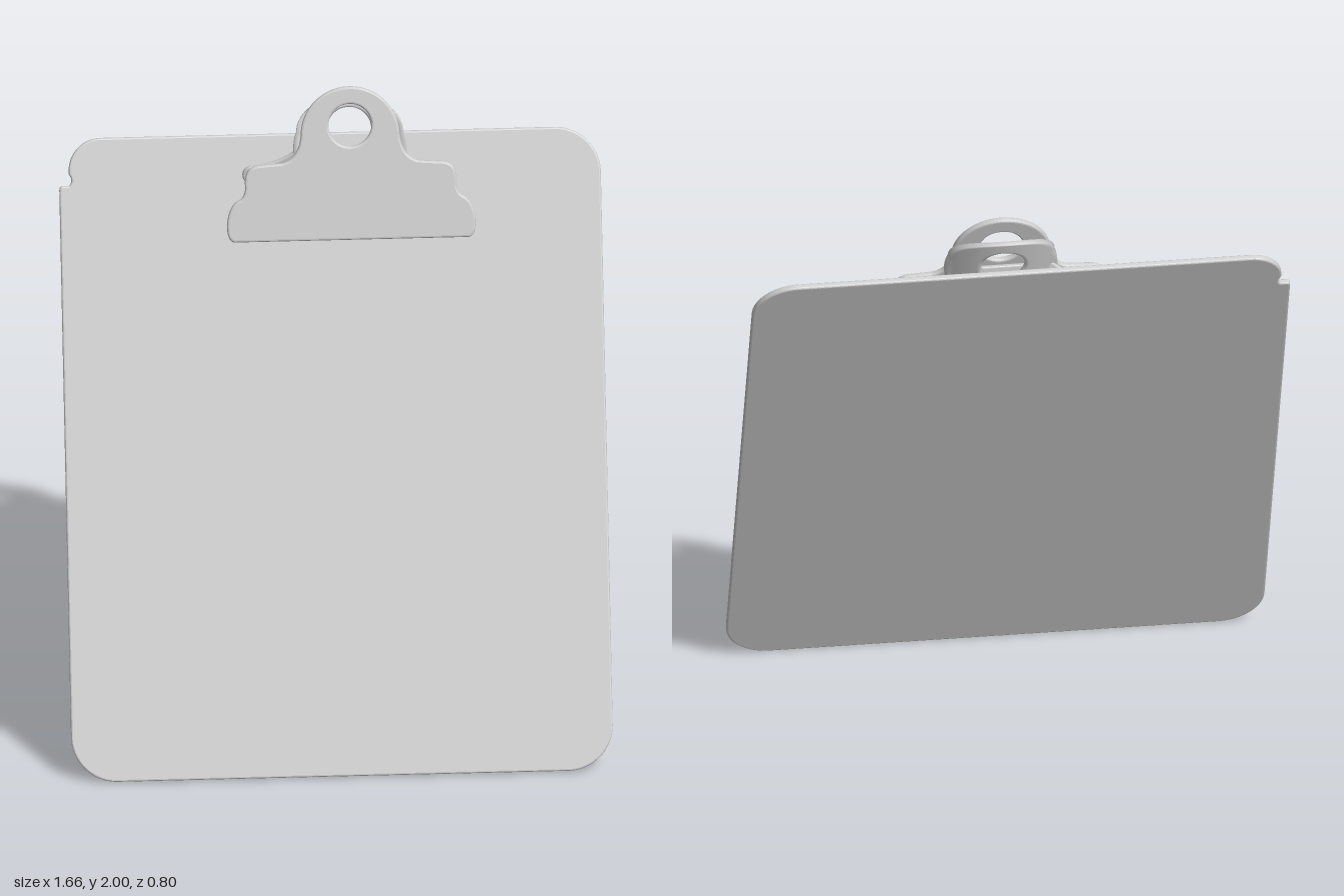
import * as THREE from 'three';

// Thin plate with softly rounded rims, centred on z = 0
function plate(shape, thickness, bevel) {
  const geo = new THREE.ExtrudeGeometry(shape, {
    depth: thickness - 2 * bevel, bevelThickness: bevel, bevelSize: bevel,
    bevelOffset: -bevel, bevelSegments: 3, curveSegments: 20,
  });
  return geo.translate(0, 0, -thickness / 2 + bevel);
}

// Board outline: rounded corners and a small notch near the top on one side
function boardShape(w, h, r) {
  const s = new THREE.Shape();
  s.moveTo(-w + r, 0);
  s.lineTo(w - r, 0);
  s.absarc(w - r, r, r, -Math.PI / 2, 0);
  s.lineTo(w, h - r);
  s.absarc(w - r, h - r, r, 0, Math.PI / 2);
  s.lineTo(-w + 0.13, h);
  s.absarc(-w + 0.13, h - 0.1, 0.1, Math.PI / 2, Math.PI);
  s.lineTo(-w + 0.03, h - 0.11);
  s.quadraticCurveTo(-w + 0.045, h - 0.13, -w + 0.03, h - 0.145);
  s.lineTo(-w + 0.01, h - 0.145);
  s.quadraticCurveTo(-w, h - 0.145, -w, h - 0.16);
  s.lineTo(-w, r);
  s.absarc(-w + r, r, r, Math.PI, Math.PI * 1.5);
  return s;
}

// Front clip outline: wide jaw, stepped shoulders, round head with a hole
function clipShape() {
  const s = new THREE.Shape();
  s.moveTo(-0.36, 0);
  s.lineTo(0.36, 0);
  s.quadraticCurveTo(0.385, 0.005, 0.382, 0.06);
  s.quadraticCurveTo(0.375, 0.115, 0.345, 0.13);
  s.quadraticCurveTo(0.325, 0.14, 0.325, 0.17);
  s.quadraticCurveTo(0.33, 0.235, 0.28, 0.238);
  s.lineTo(0.21, 0.243);
  s.quadraticCurveTo(0.16, 0.255, 0.152, 0.325);
  s.absarc(0, 0.325, 0.152, 0, Math.PI);
  s.quadraticCurveTo(-0.16, 0.255, -0.21, 0.243);
  s.lineTo(-0.28, 0.238);
  s.quadraticCurveTo(-0.33, 0.235, -0.325, 0.17);
  s.quadraticCurveTo(-0.325, 0.14, -0.345, 0.13);
  s.quadraticCurveTo(-0.375, 0.115, -0.382, 0.06);
  s.quadraticCurveTo(-0.385, 0.005, -0.36, 0);
  s.holes.push(new THREE.Path().absarc(0, 0.357, 0.066, 0, Math.PI * 2, true));
  return s;
}

// Bowed rear lever: rings run from the hole to a domed outline, on two skins
function leverGeometry() {
  const seg = 64, rings = 8, hole = 0.068, loop = 2 * (rings + 1);
  const pos = [], idx = [];
  for (let i = 0; i <= seg; i++) {
    const a = (i / seg) * Math.PI * 2, c = Math.cos(a), n = Math.sin(a);
    const outer = n >= 0 ? 1 / Math.hypot(c / 0.165, n / 0.105)
      : Math.min(0.185 / Math.max(Math.abs(c), 1e-6), 0.11 / -n,
        0.165 + 0.06 * Math.abs(n));
    for (let k = 0; k < loop; k++) {
      const back = k > rings;
      const t = (back ? loop - 1 - k : k) / rings;
      const r = hole + (outer - hole) * t;
      const x = r * c;
      const bow = -0.068 + 0.053 * Math.min(1, (x / 0.165) ** 2);
      pos.push(x, 0.335 + r * n, bow + (back ? -0.008 : 0.008));
    }
  }
  for (let i = 0; i < seg; i++) {
    for (let k = 0; k < loop; k++) {
      const k2 = (k + 1) % loop;
      const p = i * loop + k, q = i * loop + k2;
      idx.push(p, q, p + loop, q, q + loop, p + loop);
    }
  }
  const geo = new THREE.BufferGeometry();
  geo.setAttribute('position', new THREE.Float32BufferAttribute(pos, 3));
  geo.setIndex(idx);
  geo.computeVertexNormals();
  return geo;
}

// Mounting foot outline: low wings with a raised middle
function footShape() {
  const s = new THREE.Shape();
  s.moveTo(-0.29, 0);
  s.lineTo(0.19, 0);
  s.absarc(0.19, 0.03, 0.03, -Math.PI / 2, Math.PI / 2);
  s.quadraticCurveTo(0.15, 0.07, 0.13, 0.12);
  s.lineTo(-0.15, 0.12);
  s.quadraticCurveTo(-0.2, 0.07, -0.29, 0.06);
  s.absarc(-0.29, 0.03, 0.03, Math.PI / 2, Math.PI * 1.5);
  return s;
}

export function createModel() {
  const model = new THREE.Group();
  model.name = 'clipboard';
  const grey = new THREE.MeshStandardMaterial({ color: 0xcccccc });
  grey.name = 'light grey';

  const add = (parent, name, geo) => {
    const mesh = new THREE.Mesh(geo, grey);
    mesh.name = name;
    parent.add(mesh);
    return mesh;
  };

  // Board leaning back
  const board = add(model, 'board', plate(boardShape(0.832, 1.979, 0.14), 0.02, 0.006));
  board.position.set(0, 0.004, 0.386);
  board.rotation.x = -0.4007;

  // Clip, leaning back a little less than the board
  const clip = new THREE.Group();
  clip.name = 'clip';
  clip.position.set(0.06, 1.543, -0.213);
  clip.rotation.x = -0.29;
  model.add(clip);
  add(clip, 'clipFront', plate(clipShape(), 0.02, 0.007));
  add(clip, 'clipLever', leverGeometry());

  // Foot joining the clip to the board
  const foot = add(model, 'clipFoot', plate(footShape(), 0.016, 0.005));
  foot.position.set(0.05, 1.69, -0.323);
  foot.rotation.x = 0.06;

  return model;
}
